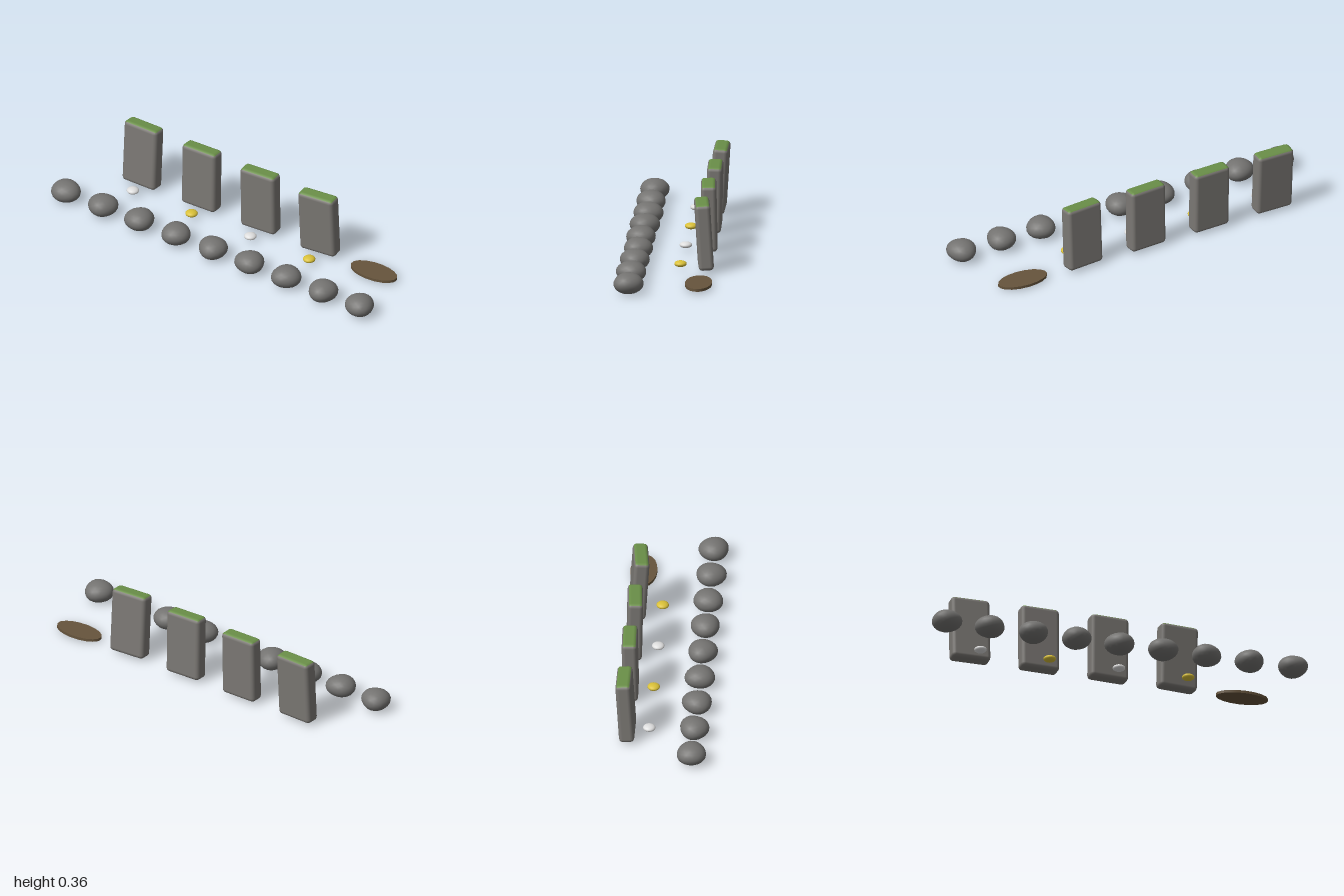
import * as THREE from 'three';
import { mergeVertices } from 'three/addons/utils/BufferGeometryUtils.js';
import { RoundedBoxGeometry } from 'three/addons/geometries/RoundedBoxGeometry.js';

function material(name, color) {
  const m = new THREE.MeshStandardMaterial({ color });
  m.name = name;
  return m;
}

// Slightly lopsided, smooth pebble of unit radius
function boulderGeometry() {
  let geo = new THREE.IcosahedronGeometry(1, 3);
  geo.deleteAttribute('normal');
  geo.deleteAttribute('uv');
  geo = mergeVertices(geo);
  const p = geo.attributes.position;
  const v = new THREE.Vector3();
  for (let i = 0; i < p.count; i++) {
    v.fromBufferAttribute(p, i);
    const a = Math.atan2(v.z, v.x);
    const flat = 1 - v.y * v.y;
    v.multiplyScalar(1 + flat * (0.035 * Math.cos(3 * a) + 0.025 * Math.sin(2 * a + 1 + v.y)));
    p.setXYZ(i, v.x, v.y, v.z);
  }
  geo.computeVertexNormals();
  return geo;
}

export function createModel() {
  const model = new THREE.Group();
  model.name = 'stoneRow';

  const slabGrey = material('slab grey', 0x7b7874);
  const mossGreen = material('moss green', 0x6a8f48);
  const boulderGrey = material('boulder grey', 0x747371);
  const petalWhite = material('petal white', 0xdedede);
  const petalYellow = material('petal yellow', 0xd9c038);
  const soilBrown = material('soil brown', 0x66543c);

  function add(name, geo, mat, x, y, z) {
    const mesh = new THREE.Mesh(geo, mat);
    mesh.name = name;
    mesh.position.set(x, y, z);
    model.add(mesh);
    return mesh;
  }

  // Leaning slabs with mossy tops, a small flower before each
  const slabGeo = new RoundedBoxGeometry(0.205, 0.345, 0.078, 2, 0.02);
  const slabMats = [slabGrey, slabGrey, mossGreen, slabGrey, slabGrey, slabGrey];
  const flowerGeo = new THREE.SphereGeometry(1, 20, 12);
  for (let i = 0; i < 4; i++) {
    const x = -0.692 + i * 0.369;
    const slab = add('slab' + (i + 1), slabGeo, slabMats, x, 0.187, -0.182);
    slab.rotation.set(-0.06 + i * 0.04, i * 0.035, 0);
    const flower = add('flower' + (i + 1), flowerGeo, i % 2 ? petalYellow : petalWhite,
      x + 0.022, 0.033, -0.064);
    flower.scale.set(0.032, 0.016, 0.032);
  }

  // Row of boulders in front
  const boulderGeo = boulderGeometry();
  for (let i = 0; i < 9; i++) {
    const boulder = add('boulder' + (i + 1), boulderGeo, boulderGrey,
      (i - 4) * 0.2305, 0.056, 0.167);
    boulder.scale.set(0.076, 0.055, 0.076);
    boulder.rotation.y = i * 0.7;
  }

  // Flat oval patch of soil
  const soil = add('soilPatch', new THREE.CylinderGeometry(1, 1, 0.014, 18), soilBrown,
    0.76, 0.017, -0.18);
  soil.scale.set(0.137, 1, 0.069);

  return model;
}
